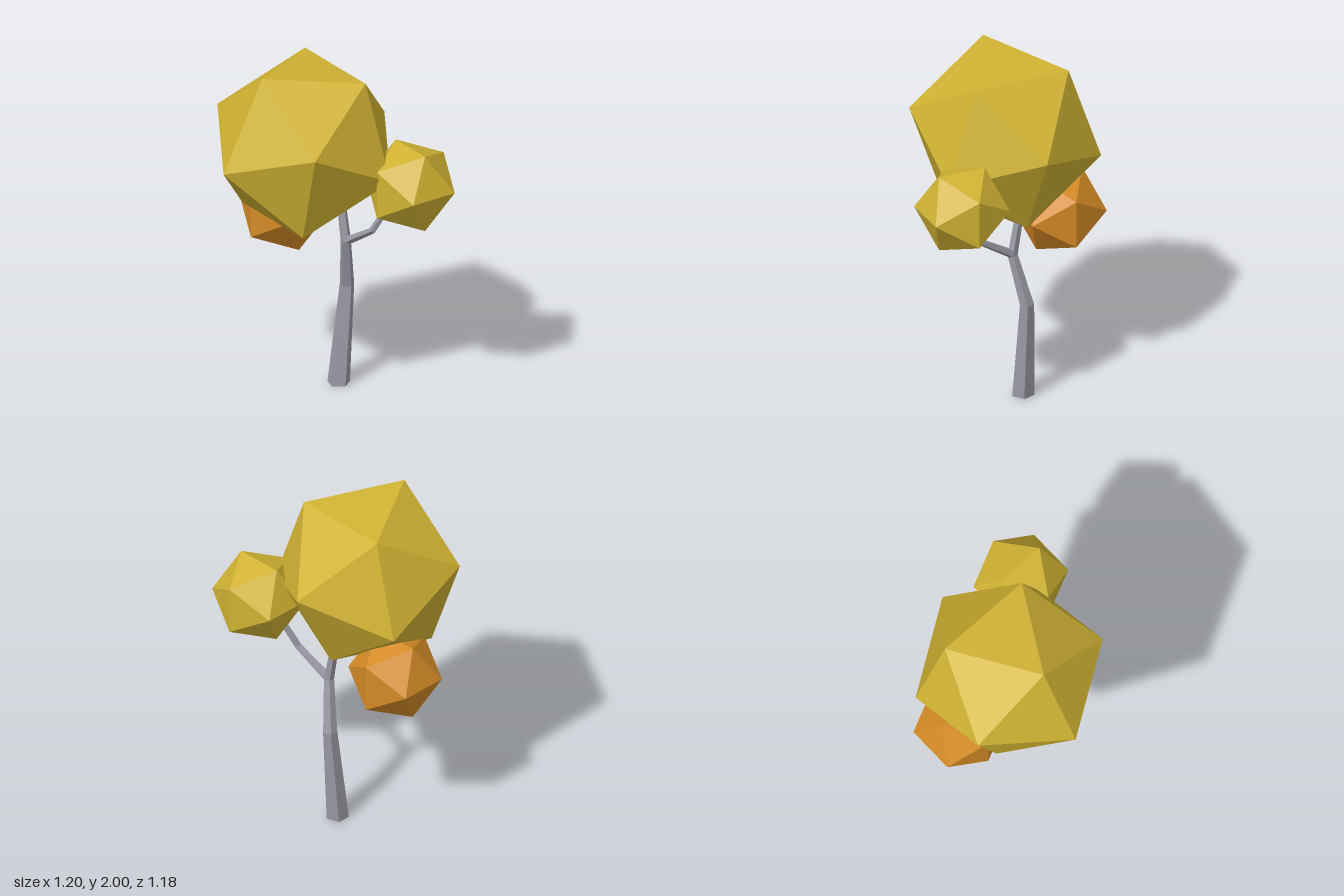
import * as THREE from 'three';

const SIDES = 5;

function material(name, color) {
  const m = new THREE.MeshStandardMaterial({ color, flatShading: true });
  m.name = name;
  return m;
}

// Closed five-sided limb through rings of { at: [x, y, z], r, tilt about z }
function limbGeometry(rings) {
  const pos = [];
  const index = [];
  const axis = new THREE.Vector3(0, 0, 1);
  for (const { at, r, tilt = 0 } of rings) {
    for (let i = 0; i < SIDES; i++) {
      const a = (i / SIDES) * Math.PI * 2;
      const p = new THREE.Vector3(Math.cos(a) * r, 0, -Math.sin(a) * r)
        .applyAxisAngle(axis, tilt)
        .add(new THREE.Vector3(...at));
      pos.push(p.x, p.y, p.z);
    }
  }
  for (let k = 0; k < rings.length - 1; k++) {
    for (let i = 0; i < SIDES; i++) {
      const a = k * SIDES + i;
      const b = k * SIDES + ((i + 1) % SIDES);
      index.push(a, b, b + SIDES, a, b + SIDES, a + SIDES);
    }
  }
  // End caps
  const top = (rings.length - 1) * SIDES;
  for (let i = 1; i < SIDES - 1; i++) {
    index.push(0, i + 1, i);
    index.push(top, top + i, top + i + 1);
  }
  const g = new THREE.BufferGeometry();
  g.setAttribute('position', new THREE.Float32BufferAttribute(pos, 3));
  g.setIndex(index);
  const flat = g.toNonIndexed();
  flat.computeVertexNormals();
  return flat;
}

export function createModel() {
  const tree = new THREE.Group();
  tree.name = 'tree';

  const bark = material('greyBark', 0x9a9aa4);
  const yellow = material('yellowLeaves', 0xd0b232);
  const orange = material('orangeLeaves', 0xd48a26);

  const add = (name, geometry, mat) => {
    const mesh = new THREE.Mesh(geometry, mat);
    mesh.name = name;
    tree.add(mesh);
    return mesh;
  };

  // Bent, tapering trunk
  add('trunk', limbGeometry([
    { at: [-0.079, 0, -0.195], r: 0.0655 },
    { at: [-0.077, 0.59, -0.25], r: 0.042 },
    { at: [-0.014, 0.89, -0.197], r: 0.03 },
    { at: [-0.05, 1.09, -0.195], r: 0.026 },
  ]), bark);

  // Side branch rising into the small crown
  add('branch', limbGeometry([
    { at: [-0.01, 0.895, -0.203], r: 0.026, tilt: -1.1 },
    { at: [0.19, 1.025, -0.235], r: 0.021, tilt: -0.6 },
    { at: [0.295, 1.23, -0.3], r: 0.018, tilt: -0.45 },
  ]), bark);

  // Faceted leaf crowns
  const crowns = [
    ['mainCrown', 0.549, [-0.081, 1.53, 0.04], -0.473, yellow],
    ['smallCrown', 0.267, [0.372, 1.336, -0.361], 0, yellow],
    ['orangeCrown', 0.267, [-0.375, 1.022, -0.036], 0, orange],
  ];
  for (const [name, r, at, pitch, mat] of crowns) {
    const crown = add(name, new THREE.IcosahedronGeometry(r, 0), mat);
    crown.position.set(...at);
    crown.rotation.x = pitch;
  }

  return tree;
}
